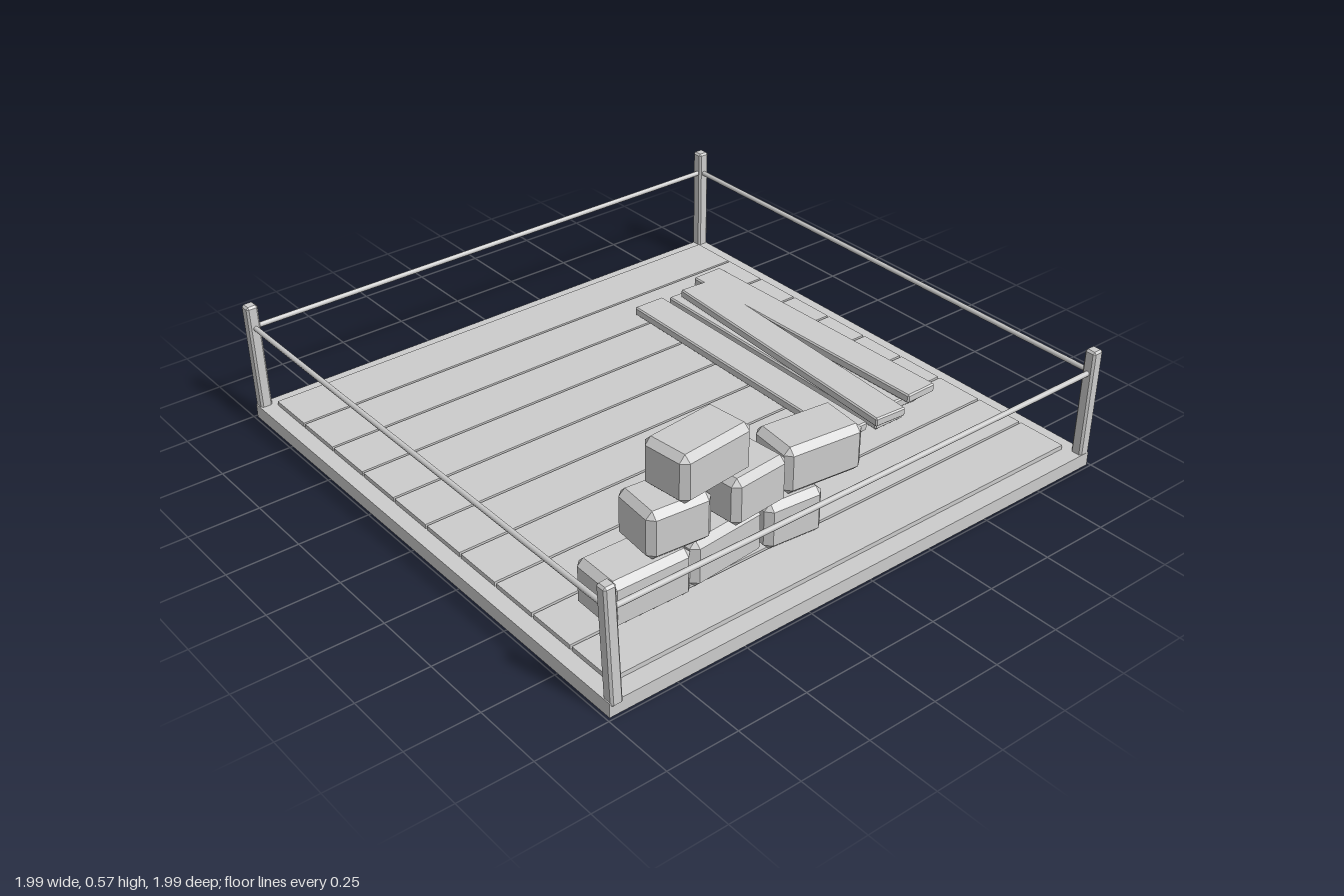
import * as THREE from 'three';
import { ConvexGeometry } from 'three/addons/geometries/ConvexGeometry.js';

const grey = new THREE.MeshStandardMaterial({ color: 0xcccccc });
grey.name = 'plainGrey';

// Box with chamfered edges, flat faces
function chamferBox(w, h, d, c) {
  const pts = [];
  for (const sx of [-1, 1]) for (const sy of [-1, 1]) for (const sz of [-1, 1]) {
    const x = w / 2, y = h / 2, z = d / 2;
    pts.push(
      new THREE.Vector3(sx * x, sy * (y - c), sz * (z - c)),
      new THREE.Vector3(sx * (x - c), sy * y, sz * (z - c)),
      new THREE.Vector3(sx * (x - c), sy * (y - c), sz * z));
  }
  return new ConvexGeometry(pts);
}

function add(parent, name, geometry, x, y, z, degrees = 0) {
  const mesh = new THREE.Mesh(geometry, grey);
  mesh.name = name;
  mesh.position.set(x, y, z);
  mesh.rotation.y = THREE.MathUtils.degToRad(degrees);
  parent.add(mesh);
  return mesh;
}

export function createModel() {
  const model = new THREE.Group();
  model.name = 'fencedPlatform';

  // Square base
  add(model, 'base', new THREE.BoxGeometry(1.98, 0.05, 1.98), 0, 0.025, 0);

  // Ten floorboards with narrow gaps
  const floor = new THREE.Group();
  floor.name = 'floor';
  model.add(floor);
  const board = new THREE.BoxGeometry(1.87, 0.017, 0.178);
  for (let i = 0; i < 10; i++) add(floor, 'floorboard', board, 0, 0.0575, -0.848 + i * 0.187);

  // Corner posts, a little crooked, joined by thin rails
  const fence = new THREE.Group();
  fence.name = 'fence';
  model.add(fence);
  const post = chamferBox(0.042, 0.405, 0.042, 0.007);
  for (const [x, z, tiltX, tiltZ] of [
    [-0.97, 0.97, -0.025, 0.025], [0.973, 0.97, 0.01, 0],
    [-0.97, -0.977, 0, 0.025], [0.973, -0.977, 0, 0],
  ]) {
    const mesh = add(fence, 'post', post, x, 0.236, z);
    mesh.rotation.x = tiltX;
    mesh.rotation.z = tiltZ;
  }
  const rail = new THREE.CylinderGeometry(0.009, 0.009, 1.94, 8);
  for (const s of [-1, 1]) {
    add(fence, 'crossRail', rail, 0, 0.356, s * 0.972).rotation.z = Math.PI / 2;
    add(fence, 'sideRail', rail, s * 0.972, 0.356, 0).rotation.x = Math.PI / 2;
  }

  // Stacked stone blocks: x, y, z, width, depth, turn
  const stack = new THREE.Group();
  stack.name = 'blockStack';
  model.add(stack);
  for (const [x, y, z, w, d, turn] of [
    [-0.665, 0.15, 0.686, 0.3, 0.185, -1],
    [-0.37, 0.15, 0.668, 0.295, 0.185, 5],
    [-0.105, 0.15, 0.685, 0.215, 0.185, -5],
    [-0.55, 0.32, 0.685, 0.225, 0.185, -5],
    [-0.27, 0.32, 0.697, 0.225, 0.18, 5],
    [0.005, 0.32, 0.69, 0.29, 0.185, -6],
    [-0.44, 0.487, 0.697, 0.285, 0.18, 6],
  ]) add(stack, 'stoneBlock', chamferBox(w, 0.166, d, 0.022), x, y, z, turn);

  // Loose planks in two layers: x, y, z, length, turn
  const pile = new THREE.Group();
  pile.name = 'plankPile';
  model.add(pile);
  for (const [x, y, z, length, turn] of [
    [0.434, 0.091, -0.085, 1.1, -0.7],
    [0.58, 0.091, -0.065, 1.1, -0.6],
    [0.725, 0.091, -0.11, 1.09, -3.7],
    [0.575, 0.132, -0.025, 1.095, -3.5],
    [0.717, 0.132, -0.07, 1.098, 1.1],
  ]) add(pile, 'plank', chamferBox(0.127, 0.033, length, 0.005), x, y, z, turn);

  return model;
}
